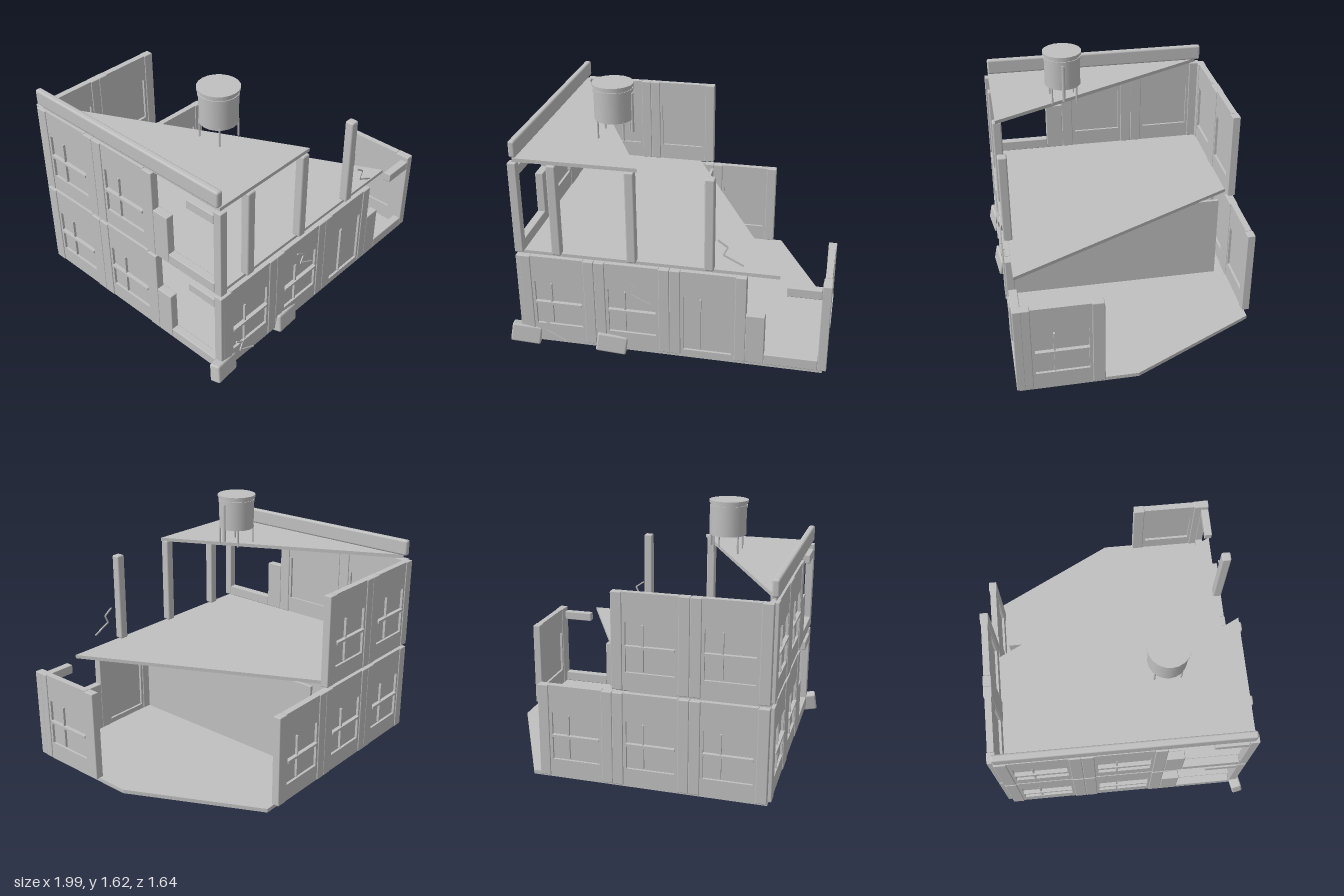
import * as THREE from 'three';
import { RoundedBoxGeometry } from 'three/addons/geometries/RoundedBoxGeometry.js';

export function createModel() {
  const model = new THREE.Group();
  model.name = 'ruinedBuilding';
  const concrete = new THREE.MeshStandardMaterial({ color: 0xc0c0c0 });
  concrete.name = 'concrete';

  function add(parent, name, geometry, x = 0, y = 0, z = 0) {
    const mesh = new THREE.Mesh(geometry, concrete);
    mesh.name = name;
    mesh.position.set(x, y, z);
    parent.add(mesh);
    return mesh;
  }
  // Box given by its minimum and maximum corners; radius > 0 softens the edges
  function block(parent, name, [x0, y0, z0], [x1, y1, z1], radius = 0) {
    const size = [x1 - x0, y1 - y0, z1 - z0];
    const geometry = radius ? new RoundedBoxGeometry(...size, 2, radius) : new THREE.BoxGeometry(...size);
    return add(parent, name, geometry, (x0 + x1) / 2, (y0 + y1) / 2, (z0 + z1) / 2);
  }
  // Floor plate from an outline of [x, z] points
  function slab(name, outline, y, thickness) {
    const shape = new THREE.Shape(outline.map(([x, z]) => new THREE.Vector2(x, -z)));
    const geometry = new THREE.ExtrudeGeometry(shape, { depth: thickness, bevelEnabled: false });
    geometry.rotateX(-Math.PI / 2);
    add(model, name, geometry, 0, y, 0);
  }

  const H = 0.59, T = 0.026; // storey wall height, half thickness of posts

  // Wall bay between two posts, outside facing local +z
  function bay(w, post, door) {
    const g = new THREE.Group();
    g.name = door ? 'doorBay' : 'windowBay';
    const low = door ? 0.035 : 0.11, high = 0.415, t = 0.02;
    const left = post + 0.018, right = w - post - 0.018, mid = w / 2;
    for (const x of [0, w - post]) block(g, 'post', [x, 0, -T], [x + post, H, T], 0.005);
    block(g, 'lowerPanel', [post, 0, -t], [w - post, low, t]);
    block(g, 'upperPanel', [post, high, -t], [w - post, H, t]);
    block(g, 'leftJamb', [post, low, -t], [left, high, t]);
    block(g, 'rightJamb', [right, low, -t], [w - post, high, t]);
    block(g, 'pane', [left, low, -0.004], [right, high, 0.004]);
    block(g, 'uprightBar', [mid - 0.05, low + 0.01, 0.004], [mid - 0.04, high - 0.015, 0.02]);
    if (!door) block(g, 'crossBar', [left, 0.258, 0.004], [right, 0.274, 0.029]);
    return g;
  }
  // Collapsed bay: stump, sill, far post and a piece of lintel
  function brokenBay(w) {
    const g = new THREE.Group();
    g.name = 'brokenBay';
    block(g, 'stump', [0, 0, -T], [0.115, 0.335, T], 0.005);
    block(g, 'sill', [0.115, 0, -T], [w - 0.055, 0.07, T], 0.005);
    block(g, 'endPost', [w - 0.055, 0, -T], [w, H, T], 0.005);
    block(g, 'lintelRemnant', [w - 0.26, 0.5, -T], [w - 0.055, 0.56, T], 0.005);
    return g;
  }
  function place(g, x, y, z, turn) {
    g.position.set(x, y, z);
    g.rotation.y = turn;
    model.add(g);
  }

  // Floors, cut diagonally where the building has collapsed
  slab('groundSlab', [[-0.9, -0.78], [0.56, -0.78], [0.97, 0.03], [0.97, 0.76], [-0.9, 0.76]], 0.03, 0.025);
  slab('upperFloor', [[-0.9, -0.78], [-0.065, -0.78], [0.69, 0.74], [-0.9, 0.74]], 0.643, 0.023);
  slab('roof', [[-0.9, -0.75], [-0.15, 0.75], [-0.9, 0.75]], 1.257, 0.023);

  // Outer walls
  const lower = 0.055, upper = 0.667, bayX = 0.467, bayZ = 0.51;
  for (let i = 0; i < 3; i++) {
    place(bay(bayX, 0.067, i === 2), -0.9 + i * bayX, lower, 0.75, 0);
    place(bay(bayX, 0.067), 0.5 - i * bayX, lower, -0.79, Math.PI);
    if (i > 0) place(bay(bayX, 0.067), 0.5 - i * bayX, upper, -0.79, Math.PI);
  }
  place(brokenBay(0.495), 0.5, lower, 0.75, 0);
  place(bay(bayZ, 0.075), 0.968, lower, 0.75, Math.PI / 2);
  for (const y of [lower, upper]) {
    for (let i = 0; i < 2; i++) place(bay(bayZ, 0.075), -0.897, y, -0.78 + i * bayZ, -Math.PI / 2);
    place(brokenBay(0.535), -0.897, y, 0.24, -Math.PI / 2);
  }
  block(model, 'partition', [0.025, lower, -0.7], [0.045, 0.645, 0.725]);

  // Free-standing columns on the upper floor
  for (const x of [-0.663, -0.197, 0.272]) {
    block(model, 'column', [x - 0.029, 0.664, 0.71], [x + 0.029, 1.257, 0.768], 0.01);
  }
  block(model, 'parapet', [-0.92, 1.28, -0.78], [-0.877, 1.385, 0.75], 0.014);

  // Water tank
  const tank = new THREE.Group();
  tank.name = 'waterTank';
  tank.position.set(-0.41, 1.28, 0.28);
  model.add(tank);
  add(tank, 'tankBody', new THREE.CylinderGeometry(0.118, 0.118, 0.22, 20), 0, 0.22, 0);
  add(tank, 'tankBand', new THREE.CylinderGeometry(0.123, 0.123, 0.018, 20), 0, 0.297, 0);
  add(tank, 'tankLid', new THREE.CylinderGeometry(0.128, 0.128, 0.017, 20), 0, 0.33, 0);
  for (const x of [-0.08, 0.08]) for (const z of [-0.08, 0.08]) {
    add(tank, 'tankLeg', new THREE.CylinderGeometry(0.006, 0.006, 0.12, 8), x, 0.058, z);
  }
  add(tank, 'tankPipe', new THREE.CylinderGeometry(0.011, 0.011, 0.25, 8), 0.118, 0.155, 0.008);

  // Zigzag cracks on the front plane
  const zigzag = [[0, 0], [0.06, -0.042], [0.035, -0.095], [0.155, -0.155]];
  for (const [x, y] of [[-0.24, 0.545], [-0.795, 0.21], [0.325, 0.885]]) {
    const crack = new THREE.Group();
    crack.name = 'crack';
    crack.position.set(x, y, 0.775);
    model.add(crack);
    for (let i = 0; i < 3; i++) {
      const [ax, ay] = zigzag[i], [bx, by] = zigzag[i + 1];
      const length = Math.hypot(bx - ax, by - ay);
      const piece = add(crack, 'crackSegment', new THREE.BoxGeometry(length, 0.009, 0.008), (ax + bx) / 2, (ay + by) / 2, 0);
      piece.rotation.z = Math.atan2(by - ay, bx - ax);
    }
  }

  // Fallen rubble
  for (const [x, yaw] of [[-0.895, 0.18], [-0.335, 0.15]]) {
    const rubble = add(model, 'rubble', new RoundedBoxGeometry(0.19, 0.12, 0.07, 2, 0.012), x, 0.076, 0.762);
    rubble.rotation.set(-0.15, yaw, -0.13);
  }
  return model;
}
